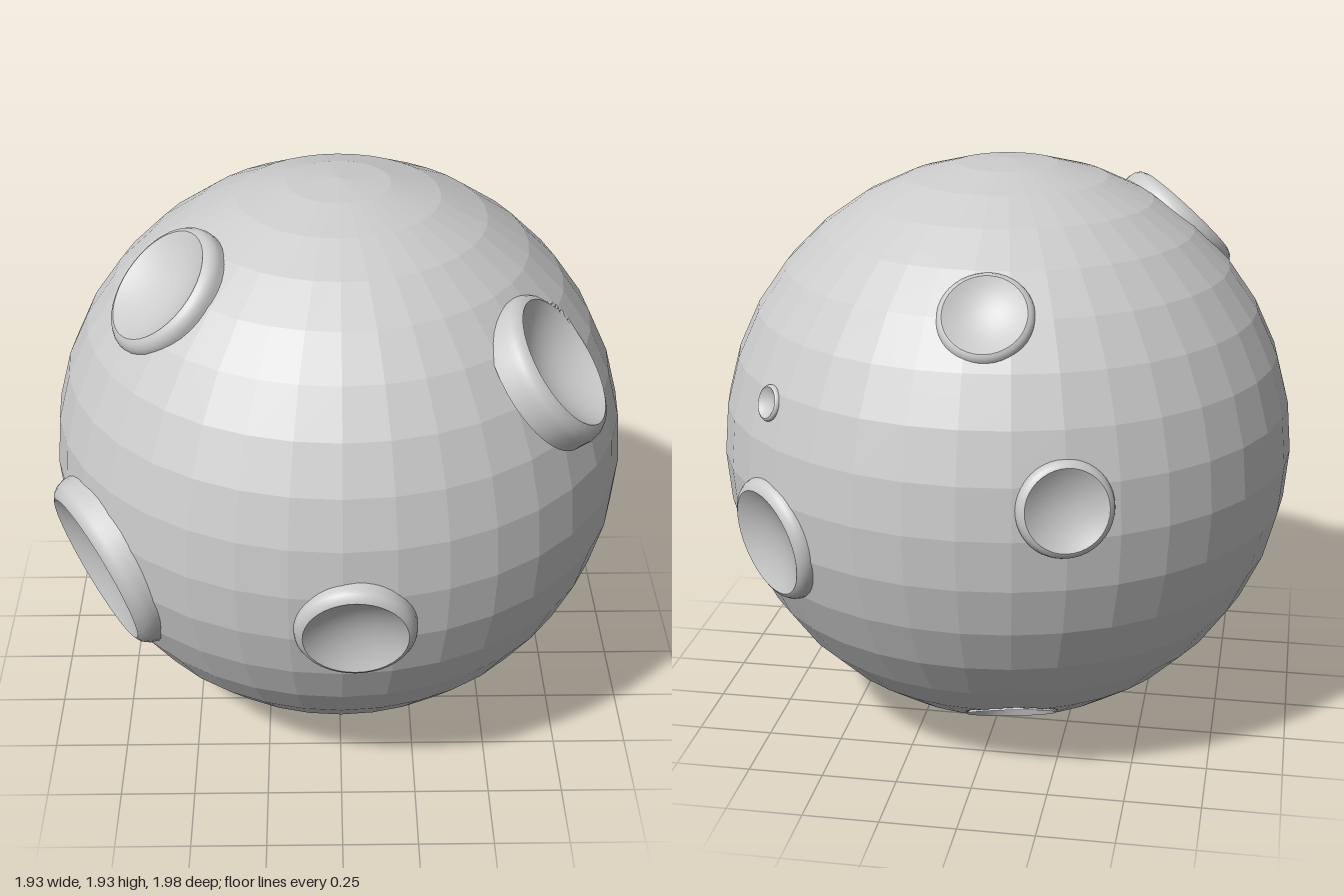
import * as THREE from 'three';

const CENTRE = new THREE.Vector3(0, 0.97, -0.01);
const RADIUS = 0.966;
const UP = new THREE.Vector3(0, 1, 0);

// Craters: lip centre from the body centre, facing direction, lip radius, bowl depth, raised rim
const CRATERS = [
  { at: [0.04, -0.14, 0.972], face: [0.0, -0.22, 0.97], r: 0.165, depth: 0.045 },
  { at: [0.70, 0.54, 0.455], face: [0.75, 0.62, 0.2], r: 0.22, depth: 0.09 },
  { at: [-0.81, -0.21, 0.50], face: [-0.83, -0.28, 0.47], r: 0.265, depth: 0.07 },
  { at: [-0.572, 0.738, 0.30], face: [-0.64, 0.71, 0.29], r: 0.195, depth: 0.055 },
  { at: [-0.05, 0.635, -0.73], face: [-0.03, 0.66, -0.75], r: 0.13, depth: 0.035 },
  { at: [-0.33, 0.10, -0.92], face: [-0.34, 0.14, -0.93], r: 0.13, depth: 0.035 },
  { at: [0.665, -0.16, -0.70], face: [0.68, -0.15, -0.715], r: 0.178, depth: 0.045 },
  { at: [0.66, 0.295, -0.65], face: [0.68, 0.28, -0.67], r: 0.05, depth: 0.02 },
  { at: [0.72, -0.55, 0.347], face: [0.72, -0.52, 0.42], r: 0.056, depth: 0.025 },
  { at: [-0.095, -0.81, -0.50], face: [-0.1, -0.85, -0.52], r: 0.15, depth: 0.085, flush: true },
].map((c) => ({
  ...c,
  at: new THREE.Vector3(...c.at),
  face: new THREE.Vector3(...c.face).normalize(),
}));

const bowlHeight = (c, d) => c.depth * ((d / c.r) ** 2 - 1);

// Press a surface point down into any crater that covers it
function carve(p) {
  for (const c of CRATERS) {
    const rel = p.clone().sub(c.at);
    const h = rel.dot(c.face);
    const d = rel.addScaledVector(c.face, -h).length();
    if (d > c.r * 1.35 || Math.abs(h) > 0.3) continue;
    const floor = bowlHeight(c, d) - (d < c.r * 0.98 ? 0.01 : 0);
    if (h > floor) p.addScaledVector(c.face, floor - h);
  }
  return p;
}

// Faceted globe; facets near a crater are divided finely so they can be carved
function bodyGeometry(columns = 36, rows = 18) {
  const corner = (i, j) => {
    const p = new THREE.Vector3();
    p.setFromSphericalCoords(RADIUS, (j / rows) * Math.PI, (i / columns) * Math.PI * 2);
    return p;
  };
  const positions = [];
  const triangle = (...points) => points.forEach((p) => positions.push(p.x, p.y, p.z));
  for (let j = 0; j < rows; j++) {
    for (let i = 0; i < columns; i++) {
      const a = corner(i, j), b = corner(i + 1, j);
      const d = corner(i, j + 1), e = corner(i + 1, j + 1);
      const middle = a.clone().add(b).add(d).add(e).multiplyScalar(0.25);
      const near = CRATERS.some((c) => middle.distanceTo(c.at) < c.r * 1.35 + 0.17);
      const n = near ? 12 : 1;
      const point = (u, v) => carve(
        a.clone().lerp(b, u / n).lerp(d.clone().lerp(e, u / n), v / n));
      for (let v = 0; v < n; v++) {
        for (let u = 0; u < n; u++) {
          const p = point(u, v), q = point(u + 1, v);
          const s = point(u, v + 1), t = point(u + 1, v + 1);
          if (j > 0 || v > 0) triangle(p, s, q);
          if (j < rows - 1 || v < n - 1) triangle(q, s, t);
        }
      }
    }
  }
  const geometry = new THREE.BufferGeometry();
  geometry.setAttribute('position', new THREE.Float32BufferAttribute(positions, 3));
  geometry.computeVertexNormals();
  return geometry;
}

const lathe = (points) =>
  new THREE.LatheGeometry(points.map(([x, y]) => new THREE.Vector2(x, y)), 40);

export function createModel() {
  const model = new THREE.Group();
  model.name = 'crateredMoon';
  const rock = new THREE.MeshStandardMaterial({ color: 0xcccccc, flatShading: true });
  const smoothRock = new THREE.MeshStandardMaterial({ color: 0xcccccc, side: THREE.DoubleSide });

  const add = (parent, geometry, material, name) => {
    const mesh = new THREE.Mesh(geometry, material);
    mesh.name = name;
    parent.add(mesh);
  };

  const moon = new THREE.Group();
  moon.name = 'moon';
  moon.position.copy(CENTRE);
  model.add(moon);
  add(moon, bodyGeometry(), rock, 'body');

  for (const c of CRATERS) {
    const crater = new THREE.Group();
    crater.name = 'crater';
    crater.position.copy(c.at);
    crater.quaternion.setFromUnitVectors(UP, c.face);
    moon.add(crater);

    // Shallow dish
    const dish = [];
    for (let k = 0; k <= 10; k++) {
      const d = (c.r * (10 - k)) / 10;
      dish.push([d, bowlHeight(c, d)]);
    }
    add(crater, lathe(dish), smoothRock, 'craterBowl');

    // Rounded raised rim sloping down into the body
    if (!c.flush) {
      const r = c.r;
      add(crater, lathe([
        [r * 1.17, -r * 0.5], [r * 1.17, -r * 0.22], [r * 1.14, -r * 0.12],
        [r * 1.08, -r * 0.04], [r, 0],
      ]), smoothRock, 'craterRim');
    }
  }
  return model;
}
